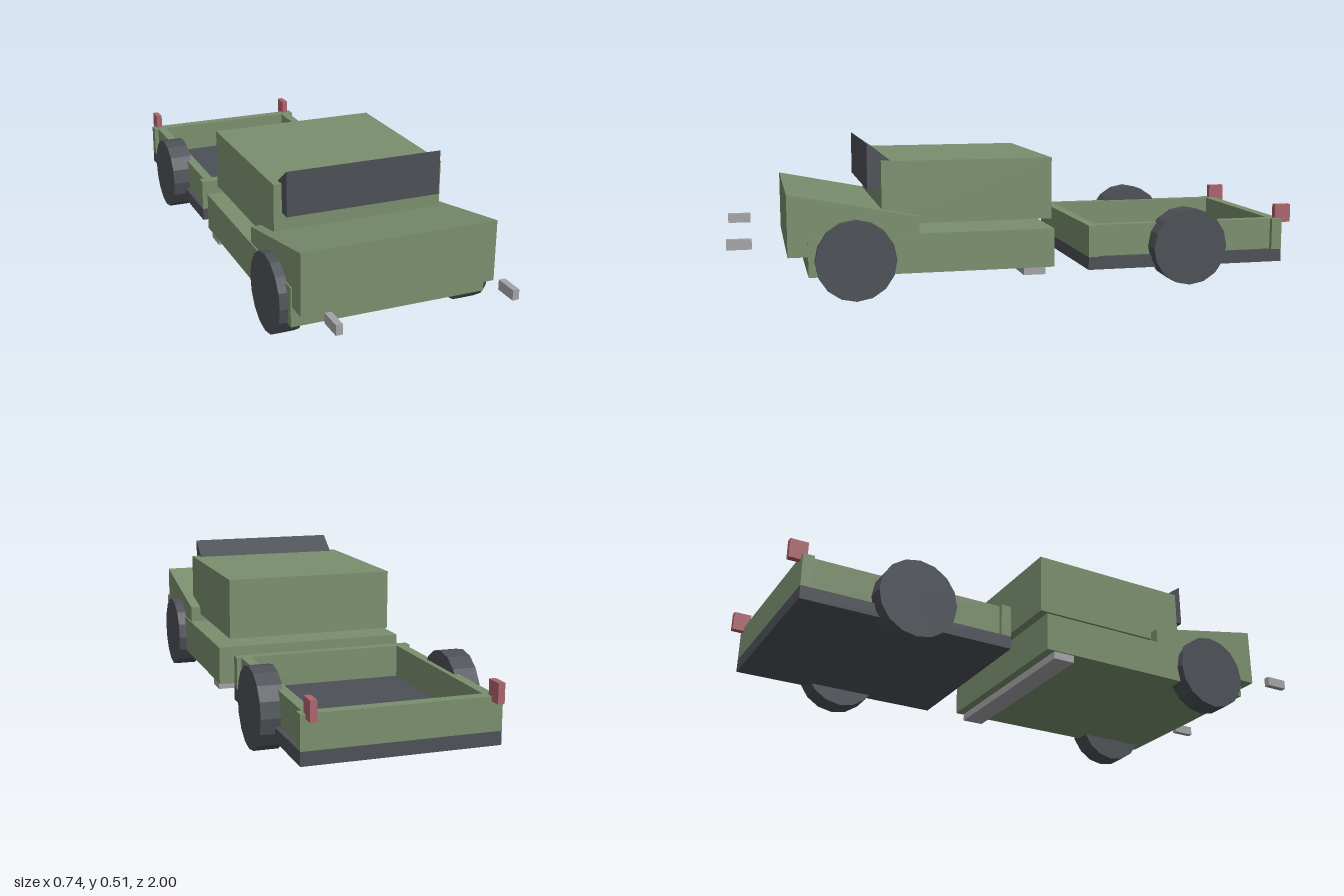
import * as THREE from 'three';

const mat = (name, color) => {
  const m = new THREE.MeshStandardMaterial({ color, flatShading: true });
  m.name = name;
  return m;
};

export function createModel() {
  const green = mat('olive green paint', 0x7a8e6d);
  const dark = mat('dark grey', 0x4c5056);
  const silver = mat('light grey', 0xa3a3a6);
  const red = mat('tail light red', 0xab646c);

  const model = new THREE.Group();
  model.name = 'pickupTruck';

  const add = (name, geometry, material) => {
    const mesh = new THREE.Mesh(geometry, material);
    mesh.name = name;
    model.add(mesh);
    return mesh;
  };

  // Box given by its limits on each axis
  const box = (name, material, [x0, x1], [y0, y1], [z0, z1]) =>
    add(name, new THREE.BoxGeometry(x1 - x0, y1 - y0, z1 - z0), material)
      .position.set((x0 + x1) / 2, (y0 + y1) / 2, (z0 + z1) / 2);

  // Side profile of (z, y) points, extruded across the width
  const prism = (name, material, halfWidth, points) => {
    const shape = new THREE.Shape(points.map(([z, y]) => new THREE.Vector2(z, y)));
    const g = new THREE.ExtrudeGeometry(shape, { depth: halfWidth * 2, bevelEnabled: false });
    g.translate(0, 0, -halfWidth).rotateY(-Math.PI / 2);
    return add(name, g, material);
  };

  // Cab section
  box('lowerBody', green, [-0.34, 0.34], [0.084, 0.218], [-0.097, 0.74]);
  box('cabin', green, [-0.3, 0.3], [0.247, 0.459], [-0.097, 0.492]);
  prism('hood', green, 0.335, [[0.806, 0.152], [0.806, 0.361], [0.37, 0.274], [0.37, 0.152]]);
  prism('windshield', dark, 0.272, [[0.536, 0.361], [0.536, 0.515], [0.458, 0.459], [0.458, 0.361]]);
  box('underStep', silver, [-0.335, 0.335], [0.058, 0.084], [-0.067, 0.01]);

  // Open cargo bed
  box('bedFloor', dark, [-0.32, 0.32], [0.062, 0.107], [-0.96, -0.228]);
  box('bedFrontPanel', green, [-0.32, 0.32], [0.107, 0.218], [-0.263, -0.228]);
  box('tailgate', green, [-0.32, 0.32], [0.107, 0.218], [-0.96, -0.922]);

  // Mirrored parts
  for (const [side, s] of [['left', 1], ['right', -1]]) {
    const span = (a, b) => (s > 0 ? [a, b] : [-b, -a]);
    box(side + 'BedWall', green, span(0.27, 0.304), [0.107, 0.218], [-0.922, -0.263]);
    box(side + 'Headlight', silver, span(0.282, 0.304), [0.18, 0.214], [0.918, 1]);
    box(side + 'TailLight', red, span(0.282, 0.304), [0.203, 0.268], [-1, -0.94]);

    for (const [end, z] of [['Front', 0.585], ['Rear', -0.588]]) {
      const g = new THREE.CylinderGeometry(0.135, 0.135, 0.08, 16).rotateZ(Math.PI / 2);
      add(side + end + 'Wheel', g, dark).position.set(s * 0.328, 0.137, z);
    }
  }
  return model;
}
